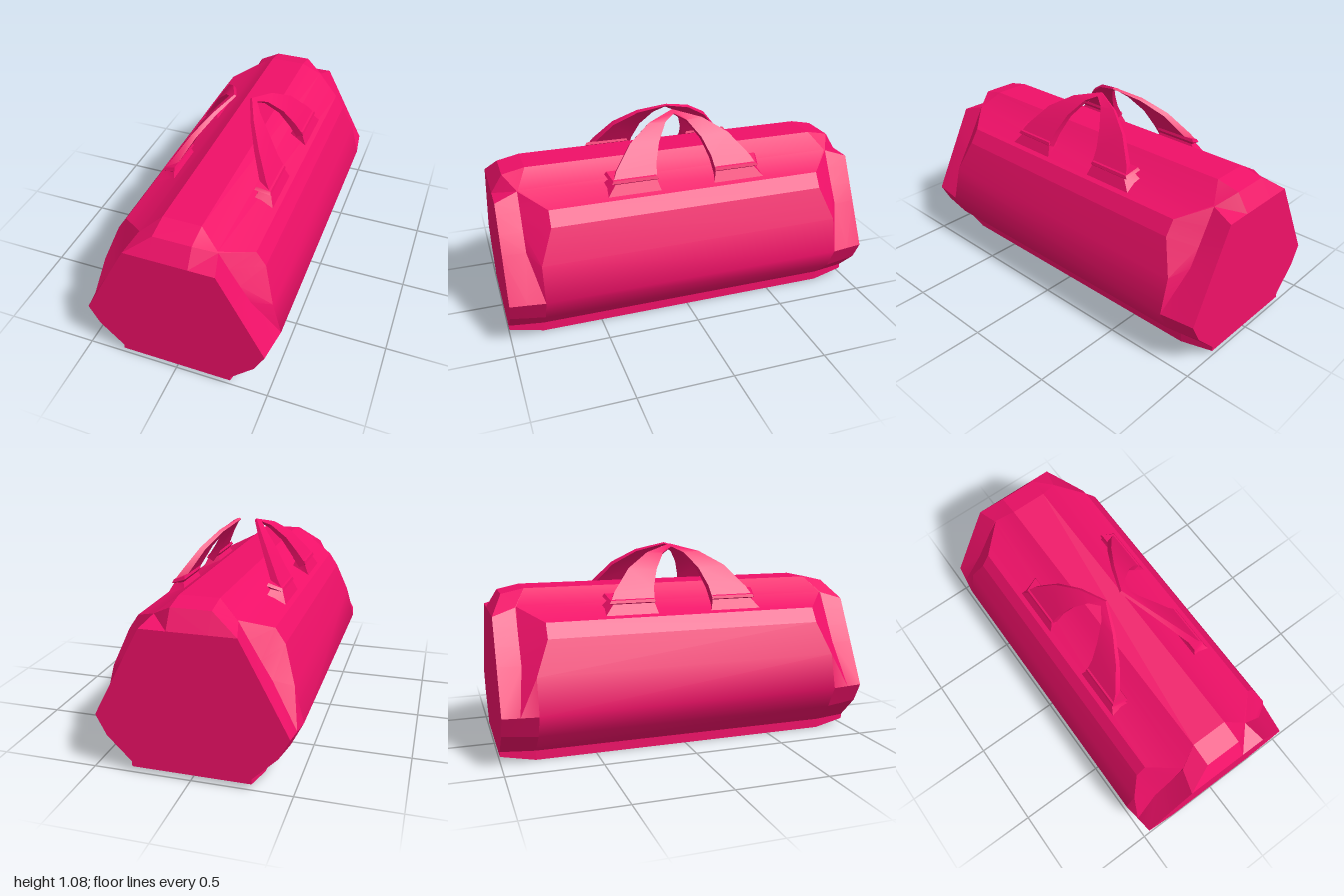
import * as THREE from 'three';
import { toCreasedNormals } from 'three/addons/utils/BufferGeometryUtils.js';

const material = new THREE.MeshStandardMaterial({ color: 0xf01068 });

// Skin a list of cross-sections; closed joins each section into a loop.
function loft(name, rings, { closed = true, startCap = false, endCap = false, crease = 0.3 } = {}) {
  const n = rings[0].length, pos = [];
  const tri = (...p) => p.forEach(q => pos.push(...q));
  for (let i = 0; i < rings.length - 1; i++) {
    for (let j = 0; j < (closed ? n : n - 1); j++) {
      const k = (j + 1) % n, [r, s] = [rings[i], rings[i + 1]];
      tri(r[j], r[k], s[k]);
      tri(r[j], s[k], s[j]);
    }
  }
  const cap = (ring, flip) => {
    const c = [0, 1, 2].map(a => ring.reduce((t, p) => t + p[a], 0) / n);
    ring.forEach((p, j) => {
      const q = ring[(j + 1) % n];
      flip ? tri(c, q, p) : tri(c, p, q);
    });
  };
  if (startCap) cap(rings[0], true);
  if (endCap) cap(rings[rings.length - 1], false);
  const geo = new THREE.BufferGeometry();
  geo.setAttribute('position', new THREE.Float32BufferAttribute(pos, 3));
  geo.computeVertexNormals();
  const mesh = new THREE.Mesh(toCreasedNormals(geo, crease), material);
  mesh.name = name;
  return mesh;
}

const mirrorRing = half => [...half, ...half.map(([x, y, z]) => [-x, y, z]).reverse()];

// Half outlines from the bottom edge up to the top edge.
const shoulder = [
  [0.322, 0, 0.82], [0.322, 0.05, 0.82], [0.445, 0.165, 0.82], [0.505, 0.285, 0.82],
  [0.457, 0.47, 0.82], [0.395, 0.645, 0.75], [0.345, 0.72, 0.75], [0.2, 0.785, 0.875], [0.1, 0.865, 0.82],
];
const pinch = [
  [0.311, 0.015, 0.91], [0.311, 0.053, 0.91], [0.435, 0.172, 0.91], [0.492, 0.285, 0.91],
  [0.365, 0.512, 0.88], [0.31, 0.602, 0.88], [0.255, 0.695, 0.88], [0.205, 0.782, 0.88], [0.1, 0.84, 0.94],
];
const end = [
  [0.3, 0.03, 1], [0.3, 0.056, 1], [0.425, 0.18, 1], [0.48, 0.285, 1],
  [0.358, 0.515, 1], [0.31, 0.605, 1], [0.262, 0.695, 1], [0.235, 0.745, 1], [0.1, 0.745, 1],
];

function createBody() {
  const body = new THREE.Group();
  body.name = 'body';
  const backOf = ring => ring.map(([x, y, z]) => [x, y, -z]);
  const strip = (name, ring, crease) => loft(name, [backOf(ring), ring], { closed: false, crease });

  // Rounded sides, faceted top and flat base along the length
  for (const s of [1, -1]) {
    const side = strip('side', shoulder.slice(1, 6), 0.8);
    side.scale.x = s;
    body.add(side);
  }
  body.add(strip('top', mirrorRing(shoulder.slice(5))));
  const b = mirrorRing(shoulder.slice(0, 2));
  body.add(strip('base', [b[2], b[3], b[0], b[1]]));

  // Pinched ends with flat panels
  for (const s of [1, -1]) {
    const panel = loft('endPanel', [shoulder, pinch, end].map(mirrorRing), { endCap: true });
    panel.scale.z = s;
    body.add(panel);
  }
  return body;
}

// Lean of the handle: x for a given height
function leanX(y) {
  const pts = [[0.78, 0.305], [0.96, 0.185], [1.05, 0.1], [1.075, 0.05]];
  let i = 0;
  while (i < 2 && y > pts[i + 1][0]) i++;
  const [[y0, x0], [y1, x1]] = [pts[i], pts[i + 1]];
  return x0 + (x1 - x0) * (y - y0) / (y1 - y0);
}

function createHandle() {
  const handle = new THREE.Group();
  handle.name = 'handle';

  // Strap: outer edge z, y; inner edge z, y; thickness
  const stations = [
    [0.4, 0.8, 0.165, 0.79, 0.045], [0.375, 0.845, 0.155, 0.86, 0.04], [0.275, 0.96, 0.12, 0.95, 0.03],
    [0.15, 1.035, 0.06, 1.03, 0.022], [0, 1.075, 0, 1.06, 0.014],
  ];
  const section = ([oz, oy, iz, iy, d], s) => {
    const o = [leanX(oy), oy, oz * s], i = [leanX(iy), iy, iz * s];
    const inset = ([x, y, z]) => [x - 0.8 * d, y - 0.5 * d, z];
    return [o, i, inset(i), inset(o)];
  };
  const rings = [
    ...stations.map(st => section(st, 1)),
    ...stations.slice(0, -1).reverse().map(st => section(st, -1)),
  ];
  handle.add(loft('strap', rings, { startCap: true, endCap: true }));

  // Flared pads joining the strap to the bag: outer x, y; inner x, y; z range
  const levels = [
    [0.335, 0.7, 0.2, 0.72, 0.14, 0.48], [0.295, 0.785, 0.235, 0.8, 0.165, 0.41],
    [0.3, 0.79, 0.22, 0.82, 0.16, 0.43], [0.295, 0.805, 0.225, 0.835, 0.165, 0.42],
  ];
  for (const s of [1, -1]) {
    const pad = loft('strapPad', levels.map(([ox, oy, ix, iy, z0, z1]) =>
      [[ox, oy, z1 - 0.02], [ox, oy, z0], [ix, iy, z0 + 0.02], [ix, iy, z1]]), { startCap: true, endCap: true });
    pad.scale.z = s;
    handle.add(pad);
  }
  return handle;
}

export function createModel() {
  const model = new THREE.Group();
  model.name = 'duffelBag';
  model.add(createBody());
  for (const s of [1, -1]) {
    const handle = createHandle();
    handle.scale.x = s;
    model.add(handle);
  }
  return model;
}
